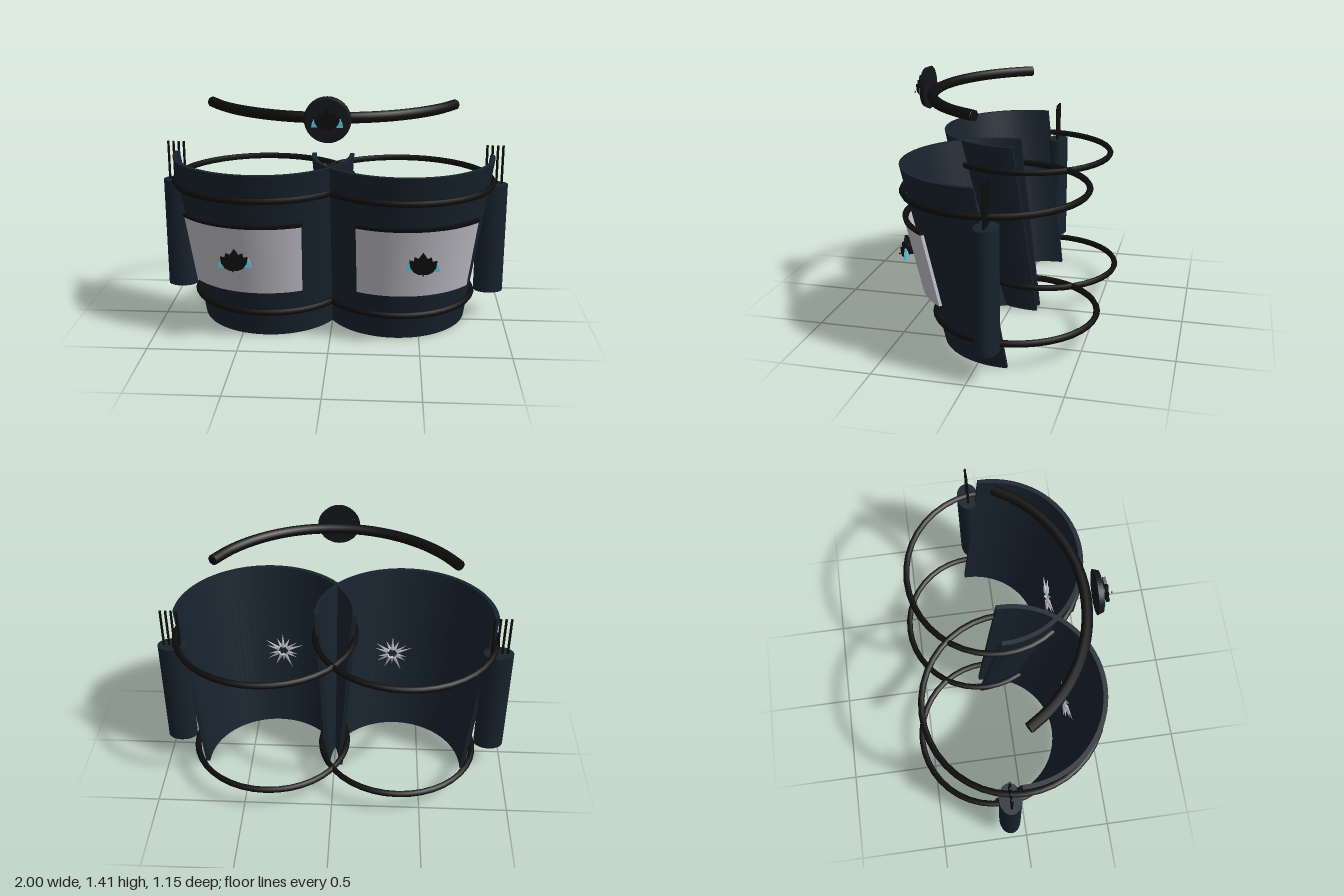
import * as THREE from 'three';
import { toCreasedNormals } from 'three/addons/utils/BufferGeometryUtils.js';

const mat = (color) => new THREE.MeshStandardMaterial({ color });
const navy = mat(0x17222d), black = mat(0x0d0d0d), disc = mat(0x14161c);
const grey = mat(0xc0c0c8), cyan = mat(0x5cc8e0);

function add(parent, name, geometry, material, x = 0, y = 0, z = 0) {
  const mesh = new THREE.Mesh(geometry, material);
  mesh.name = name;
  mesh.position.set(x, y, z);
  parent.add(mesh);
  return mesh;
}

// Point on the slanted leg cone: side s, angle a, height y, distance off the surface
function conePoint(s, a, y, off) {
  return [
    s * (0.365 + 0.03 * y) + (0.415 + 0.1 * y + off) * Math.cos(a),
    y,
    -0.145 + 0.135 * y + (0.425 + 0.085 * y + off) * Math.sin(a),
  ];
}

// Closed plate wrapped around the cone between two angles (degrees)
function curvedPlate(s, deg0, deg1, y0, y1, inner, outer, steps) {
  let a0 = THREE.MathUtils.degToRad(deg0), a1 = THREE.MathUtils.degToRad(deg1);
  if (s < 0) [a0, a1] = [Math.PI - a1, Math.PI - a0];
  const section = (i) => {
    const a = a0 + ((a1 - a0) * i) / steps;
    return [[y0, outer], [y1, outer], [y1, inner], [y0, inner]].map(([y, o]) => conePoint(s, a, y, o));
  };
  const pos = [];
  const tri = (...pts) => pts.forEach((p) => pos.push(...p));
  for (let i = 0; i < steps; i++) {
    const p = section(i), q = section(i + 1);
    for (let k = 0; k < 4; k++) {
      const n = (k + 1) % 4;
      tri(p[k], p[n], q[k]);
      tri(p[n], q[n], q[k]);
    }
  }
  const b = section(0), e = section(steps);
  tri(b[0], b[2], b[1]);
  tri(b[0], b[3], b[2]);
  tri(e[0], e[1], e[2]);
  tri(e[0], e[2], e[3]);
  const g = new THREE.BufferGeometry();
  g.setAttribute('position', new THREE.Float32BufferAttribute(pos, 3));
  return toCreasedNormals(g, 0.6);
}

function extrude(points, depth) {
  const shape = new THREE.Shape(points.map(([x, y]) => new THREE.Vector2(x, y)));
  return new THREE.ExtrudeGeometry(shape, { depth, bevelEnabled: false });
}

// Flower badge with two pale side leaves, facing +z from its back plane
function makeBadge(name) {
  const badge = new THREE.Group();
  badge.name = name;
  const half = [[0, 0.07], [0.024, 0.035], [0.045, 0.045], [0.05, 0.02], [0.074, 0.026],
    [0.068, -0.01], [0.05, -0.036], [0.022, -0.05]];
  const outline = [...half, ...half.slice(1).reverse().map(([x, y]) => [-x, y])];
  add(badge, 'flower', extrude(outline, 0.018), black, 0, 0, 0.02);
  const stem = new THREE.CylinderGeometry(0.035, 0.035, 0.04, 16).rotateX(Math.PI / 2);
  add(badge, 'flowerStem', stem, black, 0, 0, 0.005);
  for (const s of [-1, 1]) {
    const leaf = [[0.025, -0.04], [0.09, -0.04], [0.085, -0.015], [0.07, 0.018]].map(([x, y]) => [s * x, y]);
    add(badge, 'sideLeaf', extrude(s > 0 ? leaf : leaf.reverse(), 0.012), cyan, 0, 0, 0.004);
  }
  add(badge, 'bead', new THREE.SphereGeometry(0.005, 8, 6), black, 0, -0.04, 0.07);
  return badge;
}

function makeRing(rx, rz) {
  return new THREE.TorusGeometry(rx, 0.018, 6, 40).rotateX(Math.PI / 2).scale(1, 1, rz / rx);
}

// Flat burst of thin spikes behind the badge
function makeBurst() {
  const burst = new THREE.Group();
  burst.name = 'spikeBurst';
  for (let i = 0; i < 14; i++) {
    const length = [0.1, 0.06, 0.08][i % 3];
    const spike = new THREE.ConeGeometry(0.011, length, 4).translate(0, 0.03 + length / 2, 0);
    spike.rotateX(i % 2 ? 0.2 : -0.05).rotateZ((i / 14) * Math.PI * 2);
    add(burst, 'spike', spike, grey);
  }
  return burst;
}

function makeLegGuard(s) {
  const guard = new THREE.Group();
  guard.name = s > 0 ? 'leftLegGuard' : 'rightLegGuard';
  add(guard, 'shell', curvedPlate(s, -2, 182, 0, 0.995, -0.025, 0, 40), navy);
  add(guard, 'frontPanel', curvedPlate(s, 38, 117, 0.3, 0.7, 0.03, 0.048, 20), grey);
  add(guard, 'panelTrim', curvedPlate(s, 37.5, 117.5, 0.698, 0.715, 0.025, 0.053, 20), black);

  // Strap rings
  add(guard, 'upperStrap', makeRing(0.509, 0.495), black, s * 0.395, 0.853, -0.01);
  add(guard, 'lowerStrap', makeRing(0.445, 0.44), black, s * 0.37, 0.155, -0.115);

  const badge = makeBadge('panelBadge');
  badge.position.set(s * 0.505, 0.51, 0.435);
  const burst = makeBurst();
  burst.position.set(s * 0.335, 0.5, 0.31);
  guard.add(badge, burst);

  // Side holder with its row of rods
  const holder = new THREE.CylinderGeometry(1, 1, 0.65, 20).scale(0.086, 1, 0.063);
  add(guard, 'sideHolder', holder, navy, s * 0.914, 0.485, -0.092);
  for (let i = 0; i < 4; i++) {
    const rod = new THREE.CylinderGeometry(0.007, 0.007, 0.25, 8);
    add(guard, 'rod', rod, black, s * (0.873 + i * 0.03), 0.91, -0.092);
  }
  return guard;
}

function makeHeadband() {
  const band = new THREE.Group();
  band.name = 'headband';
  const R = 0.765, sweep = (61 * Math.PI) / 180, path = [];
  for (let i = 0; i <= 12; i++) {
    const a = -sweep + (2 * sweep * i) / 12;
    path.push(new THREE.Vector3(R * Math.sin(a), 1.292, -0.34 + R * Math.cos(a)));
  }
  const curve = new THREE.CatmullRomCurve3(path);
  add(band, 'bandTube', new THREE.TubeGeometry(curve, 32, 0.03, 8, false), black);
  // End caps of the band
  for (const s of [-1, 1]) {
    const cap = new THREE.CircleGeometry(0.03, 8).rotateY(s > 0 ? Math.PI - (Math.PI / 2 - sweep) : Math.PI + (Math.PI / 2 - sweep));
    const end = path[s > 0 ? 12 : 0];
    const capMaterial = black.clone();
    capMaterial.side = THREE.DoubleSide;
    add(band, 'bandEnd', cap, capMaterial, end.x, end.y, end.z);
  }
  const plate = toCreasedNormals(new THREE.CylinderGeometry(0.11, 0.121, 0.03, 32).rotateX(Math.PI / 2), 0.6);
  add(band, 'foreheadDisc', plate, disc, 0, 1.292, 0.49);
  const badge = makeBadge('foreheadBadge');
  badge.scale.setScalar(0.9);
  badge.position.set(0, 1.297, 0.505);
  band.add(badge);
  return band;
}

export function createModel() {
  const model = new THREE.Group();
  model.name = 'armourSet';
  model.add(makeLegGuard(1), makeLegGuard(-1), makeHeadband());
  return model;
}
